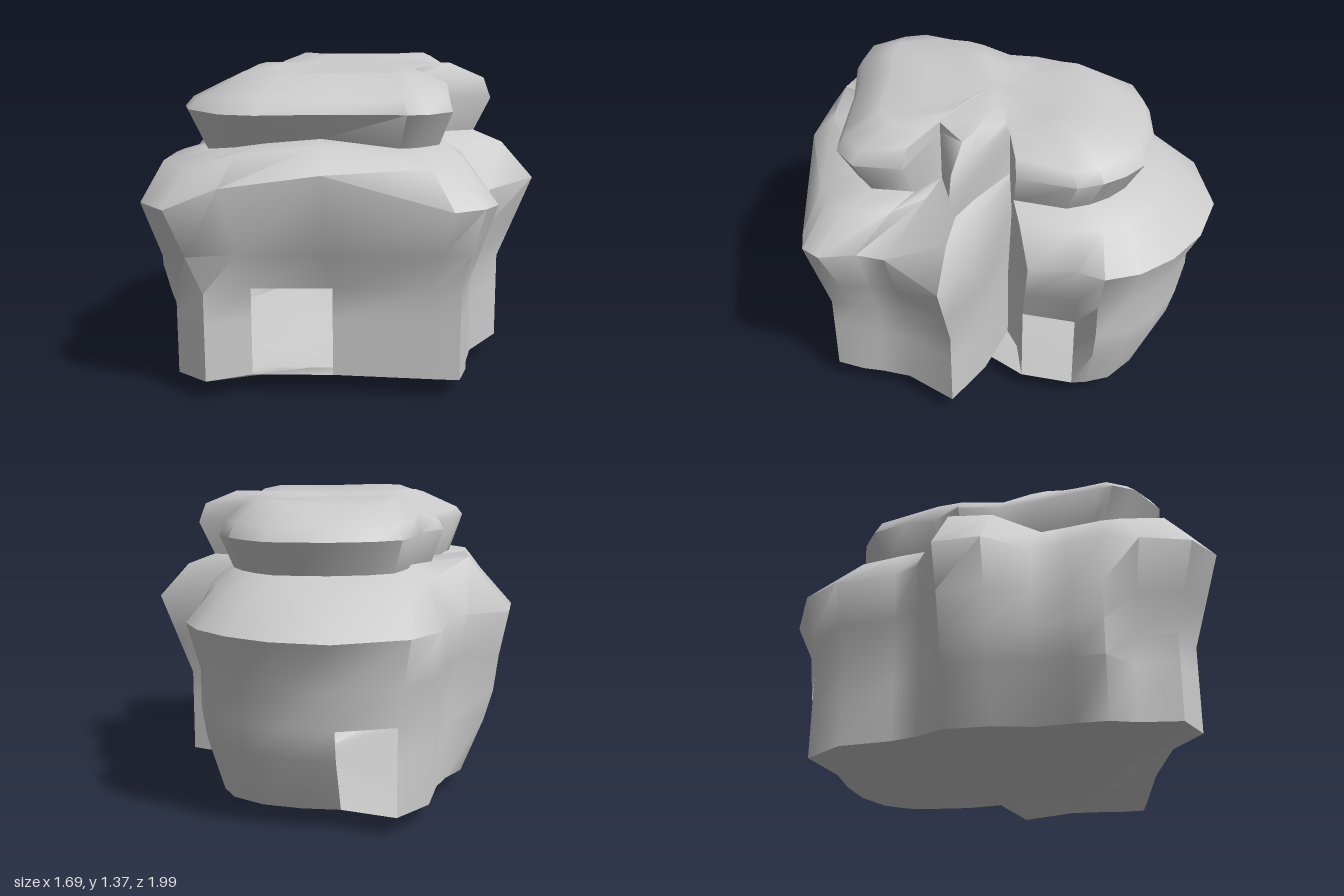
import * as THREE from 'three';
import { toCreasedNormals } from 'three/addons/utils/BufferGeometryUtils.js';

// Three key outlines as x, z pairs, from the front corner round by +x to the back
const base = [
  -.45, .88, -.28, .76, .06, .69, .48, .645, .60, .63, .61, .50, .60, .40, .60, .27, .69, .03, .45, -.06,
  .18, -.10, .27, -.17, .45, -.24, .44, -.48, .42, -.54, .36, -.64, .22, -.72, .05, -.75, -.12, -.75, -.36, -.82,
  -.49, -.65, -.52, -.42, -.56, -.30, -.63, -.18, -.64, .02, -.61, .20, -.63, .36, -.64, .50, -.61, .62, -.60, .80];
const belly = [
  -.57, .99, -.35, .95, .06, .89, .58, .74, .70, .69, .74, .60, .68, .45, .68, .32, .84, .03, .62, -.06,
  .20, -.12, .30, -.18, .58, -.29, .54, -.50, .56, -.62, .48, -.76, .34, -.88, .15, -.97, -.10, -1, -.41, -.87,
  -.53, -.70, -.57, -.42, -.64, -.31, -.83, -.21, -.85, 0, -.72, .20, -.74, .36, -.79, .50, -.76, .66, -.71, .88];
const cap = [
  -.40, .77, -.25, .77, 0, .69, .36, .62, .44, .60, .53, .49, .50, .28, .31, .17, .64, .03, .48, -.02,
  .20, -.11, .30, -.17, .44, -.20, .44, -.46, .38, -.56, .30, -.64, .20, -.70, .08, -.70, -.05, -.70, -.24, -.65,
  -.36, -.58, -.42, -.42, -.43, -.28, -.53, -.15, -.50, .04, -.54, .25, -.57, .36, -.60, .50, -.62, .56, -.57, .66];

const COUNT = base.length / 2;
const FRONT_RISE = { 1: .09, 2: .15, 3: -.01 };
const DOORS = [1, 12, 18]; // front, side and rear openings
const CENTRE = [-.03, .02];

const isFront = i => i < 4 || i === 29;
const isRear = i => i > 13 && i < 19;
const isFlank = i => i > 22 && i < 28;
const isLedge = i => i === 23 || i === 24;
const isLeft = i => i > 22;
const rise = i => FRONT_RISE[i] || 0;

const ring = rule => Array.from({ length: COUNT }, (_, i) => new THREE.Vector3(...rule(i)));
const at = (loop, i) => [loop[2 * i], loop[2 * i + 1]];
const mix = (a, b, t) => [a[0] + (b[0] - a[0]) * t, a[1] + (b[1] - a[1]) * t];
const level = (a, b, t, y) => ring(i => {
  const [x, z] = mix(at(a, i), at(b, i), t(i));
  return [x, y(i), z];
});
// Outline shrunk towards the middle; the cleft corners hold their place
const shrink = (s, y, left = s) => ring(i => {
  const pinned = s > .6 && [7, 10, 11].includes(i);
  const [x, z] = mix(CENTRE, at(cap, i), pinned ? 1 : isLeft(i) ? left : s);
  return [x, y(i, x, z), z];
});

// Joins successive rings into a skin, leaving out the doorway panels
function skin(rings, isOpen = () => false) {
  const pos = [];
  const tri = (...v) => v.forEach(p => pos.push(p.x, p.y, p.z));
  for (let r = 0; r + 1 < rings.length; r++) {
    for (let i = 0; i < COUNT; i++) {
      if (isOpen(r, i)) continue;
      const j = (i + 1) % COUNT;
      const [a, b, c, d] = [rings[r][i], rings[r][j], rings[r + 1][j], rings[r + 1][i]];
      tri(a, b, c);
      tri(a, c, d);
    }
  }
  const geo = new THREE.BufferGeometry();
  geo.setAttribute('position', new THREE.Float32BufferAttribute(pos, 3));
  return toCreasedNormals(geo, .95);
}

export function createModel() {
  const group = new THREE.Group();
  group.name = 'rockShelter';
  const material = new THREE.MeshStandardMaterial({ color: 0xcccccc, side: THREE.DoubleSide });
  const add = (name, geo) => {
    const mesh = new THREE.Mesh(geo, material);
    mesh.name = name;
    group.add(mesh);
  };

  // Walls swell from the ground to the belly, then draw in to the neck
  const rearLean = t => i => (isRear(i) ? t : 0);
  const ground = level(base, base, () => 0, () => .09);
  const bulge = level(base, belly, rearLean(.48), () => .34);
  const lintel = level(base, belly, rearLean(.62), () => .48);
  const waist = level(base, belly, i => (isRear(i) ? .62 : .45), () => .65);
  for (let i = 0; i < COUNT; i++) {
    if (!isFlank(i)) continue;
    bulge[i].x -= .10;
    lintel[i].x -= .14;
    waist[i].x -= .07;
  }
  const bellyRing = level(belly, belly, () => 0, i => .86 + rise(i));
  const shoulder = level(belly, cap, i => (isFront(i) ? .48 : isLedge(i) ? .62 : .72),
    i => (isLedge(i) ? 1.1 : 1.02 + rise(i) * .6));
  const neck = shrink(.89, i => (i > 24 ? 1.04 : 1.07 + rise(i) * .25));

  add('walls', skin([ground, bulge, lintel, waist, bellyRing, shoulder, neck],
    (r, i) => r < 2 && DOORS.includes(i)));

  // Overhanging cap with a gently rippled top and a sloping -x side
  const ripple = (i, x, z) => 1.36 + .013 * Math.sin(z * 14 + x * 3);
  const rim = shrink(1, () => 1.22);
  const brow = shrink(.95, (i, x, z) => (isLeft(i) ? 1.26 : Math.abs(z) < .3 ? 1.31 : 1.28));
  add('roof', skin([neck, rim, brow, shrink(.72, ripple, .66), shrink(.45, ripple), shrink(.2, ripple),
    shrink(0, () => 1.36)]));

  // Floor sagging to a blunt keel under the front half
  const keel = [.14, .33];
  const floorRing = (s, y) => ring(i => {
    const [x, z] = mix(keel, at(base, i), s);
    return [x, y, z];
  });
  add('floor', skin([floorRing(0, 0), floorRing(.16, 0), floorRing(.5, .055), ground]));
  return group;
}
